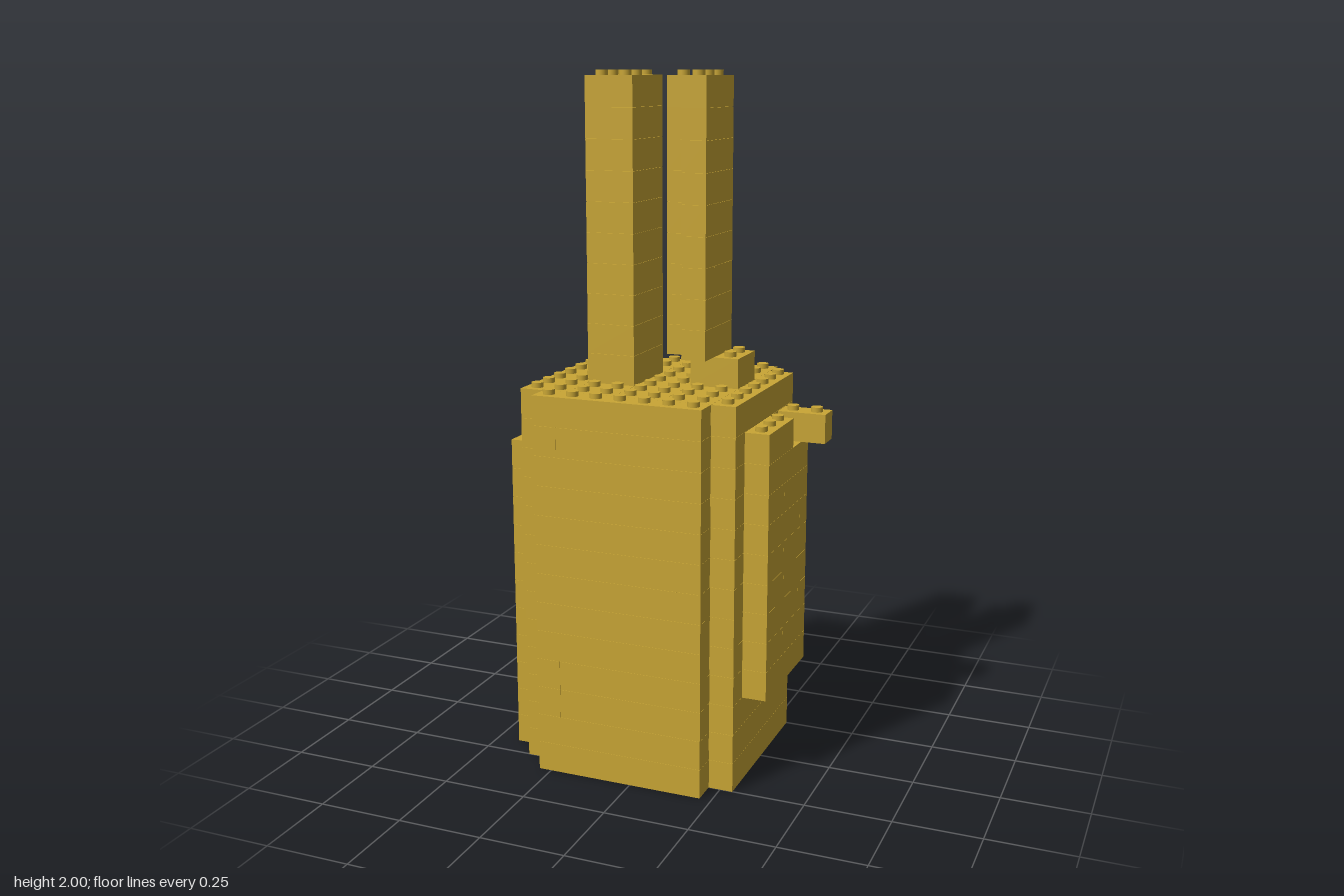
import * as THREE from 'three';
import { mergeGeometries } from 'three/addons/utils/BufferGeometryUtils.js';

// One stud pitch, one brick height, stud size and the hairline gap between bricks
const P = 0.07194, H = 0.08633, STUD_H = 0.0144, STUD_R = 0.0172, GAP = 0.0006;

// Brick covering stud columns x0..x1 and rows z0..z1 in one layer
function brick([x0, x1, z0, z1], layer) {
  const g = new THREE.BoxGeometry((x1 - x0) * P - GAP, H - GAP, (z1 - z0) * P - GAP);
  return g.translate((x0 + x1) / 2 * P, (layer + 0.5) * H, (z0 + z1) / 2 * P);
}

// Round studs over a rectangle, on top of the given layer
function studs([x0, x1, z0, z1], layer) {
  const list = [];
  for (let x = x0 + 0.5; x < x1; x++) {
    for (let z = z0 + 0.5; z < z1; z++) {
      const g = new THREE.CylinderGeometry(STUD_R, STUD_R, STUD_H, 16);
      list.push(g.translate(x * P, (layer + 1) * H + STUD_H / 2 - GAP / 2, z * P));
    }
  }
  return list;
}

export function createModel() {
  const model = new THREE.Group();
  model.name = 'brickBuild';
  const gold = new THREE.MeshStandardMaterial({ color: 0xc9a635 });
  gold.name = 'gold';

  const add = (name, list) => {
    const mesh = new THREE.Mesh(mergeGeometries(list), gold);
    mesh.name = name;
    model.add(mesh);
  };

  // Stack the same footprint over layers from..to, splitting it along z at
  // a seam that changes from layer to layer
  const stack = (rect, from, to, seam = () => null) => {
    const list = [];
    const [x0, x1, z0, z1] = rect;
    for (let i = from; i <= to; i++) {
      const s = seam(i);
      if (s === null) list.push(brick(rect, i));
      else list.push(brick([x0, x1, z0, s], i), brick([x0, x1, s, z1], i));
    }
    return list;
  };

  // Main block: thirteen layers, front and back courses around a solid core
  const body = [];
  for (let i = 0; i < 13; i++) {
    const split = i === 2 || i === 3 || i === 11 ? -3 : i === 1 || i === 6 || i === 7 ? 2 : null;
    for (const [z0, z1] of [[-4.5, -3.5], [3.5, 4.5]]) {
      if (split === null) body.push(brick([-4, 3, z0, z1], i));
      else body.push(brick([-4, split, z0, z1], i), brick([split, 3, z0, z1], i));
    }
    for (const [x0, x1] of [[-5, -3], [-3, -1], [-1, 1], [1, 3], [3, 4]]) {
      body.push(brick([x0, x1, -3.5, 3.5], i));
    }
  }
  add('body', body);
  add('bodyStuds', [
    ...studs([-4, 3, -4.5, -3.5], 12),
    ...studs([-5, 4, -3.5, 3.5], 12),
    ...studs([-4, 3, 3.5, 4.5], 12),
  ]);

  // Right side panel reaches the ground
  const rightPanel = [-6, -5, -2.5, 2.5];
  const seams = [null, 0.5, 1.5, null, -1.5, 0.5, null];
  add('rightPanel', [
    ...stack(rightPanel, 0, 10, (i) => seams[i % 7]),
    ...studs(rightPanel, 10),
  ]);

  // Left side panel hangs above the ground, with a raised front part
  const leftPanel = [4, 5, -2.5, 2.5];
  const leftSeams = { 4: 0.5, 6: 0.5, 7: 0.5, 5: -1.5, 8: -1.5, 9: 0.5 };
  add('leftPanel', [
    ...stack(leftPanel, 3, 10, (i) => leftSeams[i] ?? null),
    brick([4, 5, -0.5, 2.5], 11),
    ...studs([4, 5, -0.5, 2.5], 11),
    ...studs([4, 5, -1.5, -0.5], 10),
  ]);

  // Peg sticking out on the left
  const peg = [4, 6, -2.5, -1.5];
  add('peg', [brick(peg, 11), ...studs(peg, 11)]);

  // Thick tower
  const thick = [-3, -1, -1.5, 1.5];
  add('thickTower', [...stack(thick, 13, 22), ...studs(thick, 22)]);

  // Low support under the slim tower
  add('towerSupport', [
    brick([1, 3, -1.5, -0.5], 13),
    brick([1, 3, -0.5, 0.5], 13),
    ...studs([2, 3, -1.5, 0.5], 13),
  ]);

  // Slim tower: a wall with a narrow rib on its inner side
  const wall = [1, 2, -1.5, 1.5], rib = [0, 1, -0.5, 0.5];
  add('slimTower', [
    ...stack(wall, 14, 22, (i) => (i === 16 ? 0.5 : null)),
    ...stack(rib, 14, 22),
    ...studs(wall, 22),
    ...studs(rib, 22),
  ]);

  return model;
}
